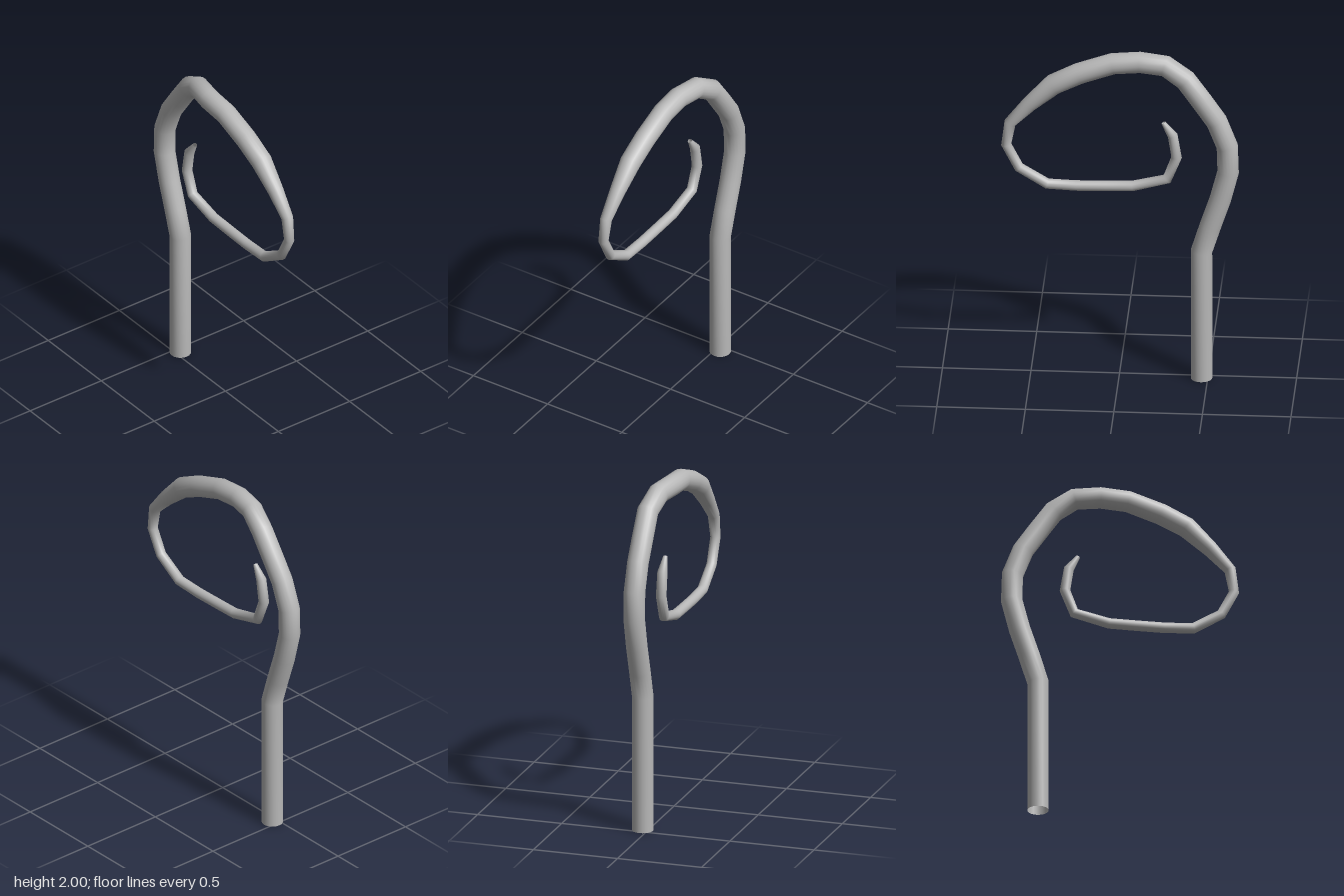
import * as THREE from 'three';

// Centre line of the rod: x, y, z, radius
const PATH = [
  [-0.465, 0, -0.03, 0.061],
  [-0.465, 0.795, -0.03, 0.061],
  [-0.515, 0.955, -0.03, 0.061],
  [-0.57, 1.12, -0.03, 0.061],
  [-0.615, 1.295, -0.03, 0.061],
  [-0.61, 1.455, -0.03, 0.061],
  [-0.55, 1.61, -0.03, 0.061],
  [-0.465, 1.735, -0.03, 0.061],
  [-0.375, 1.863, -0.03, 0.061],
  [-0.26, 1.935, -0.004, 0.061],
  [-0.115, 1.94, 0.024, 0.061],
  [0.04, 1.927, 0.024, 0.061],
  [0.23, 1.86, 0.024, 0.061],
  [0.375, 1.787, 0.024, 0.06],
  [0.51, 1.66, 0.025, 0.045],
  [0.62, 1.538, 0.027, 0.034],
  [0.642, 1.4, 0.03, 0.029],
  [0.57, 1.258, 0.031, 0.029],
  [0.41, 1.16, 0.031, 0.03],
  [0.245, 1.153, 0.031, 0.03],
  [0.08, 1.156, 0.031, 0.03],
  [-0.07, 1.16, 0.031, 0.03],
  [-0.267, 1.211, 0.031, 0.03],
  [-0.32, 1.348, 0.031, 0.03],
  [-0.298, 1.483, 0.031, 0.029],
  [-0.245, 1.562, 0.031, 0.012],
];

// Smooth round rod through the path, one ring of vertices at each point
function taperedRod(path, sides) {
  const points = path.map(([x, y, z]) => new THREE.Vector3(x, y, z));
  const positions = [];
  const index = [];
  const last = points.length - 1;
  points.forEach((p, i) => {
    const before = p.clone().sub(points[Math.max(i - 1, 0)]).normalize();
    const after = points[Math.min(i + 1, last)].clone().sub(p).normalize();
    const tangent = before.add(after).normalize();
    const side = new THREE.Vector3(0, 0, 1).cross(tangent).normalize();
    const depth = tangent.clone().cross(side);
    for (let j = 0; j < sides; j++) {
      const a = (j / sides) * Math.PI * 2;
      const v = p.clone()
        .addScaledVector(side, Math.cos(a) * path[i][3])
        .addScaledVector(depth, Math.sin(a) * path[i][3]);
      positions.push(v.x, v.y, v.z);
      if (i < last) {
        const k = (j + 1) % sides;
        const r = i * sides, s = r + sides;
        index.push(r + j, r + k, s + j, r + k, s + k, s + j);
      }
    }
  });
  const geometry = new THREE.BufferGeometry();
  geometry.setAttribute('position', new THREE.Float32BufferAttribute(positions, 3));
  geometry.setIndex(index);
  geometry.computeVertexNormals();
  return geometry;
}

export function createModel() {
  const group = new THREE.Group();
  group.name = 'curledHook';

  const grey = new THREE.MeshStandardMaterial({ color: 0xb8b8b8, side: THREE.DoubleSide });
  grey.name = 'grey';

  // Straight stem flowing into the tapering curl, open at both ends
  const rod = new THREE.Mesh(taperedRod(PATH, 20), grey);
  rod.name = 'curledRod';
  group.add(rod);

  return group;
}
